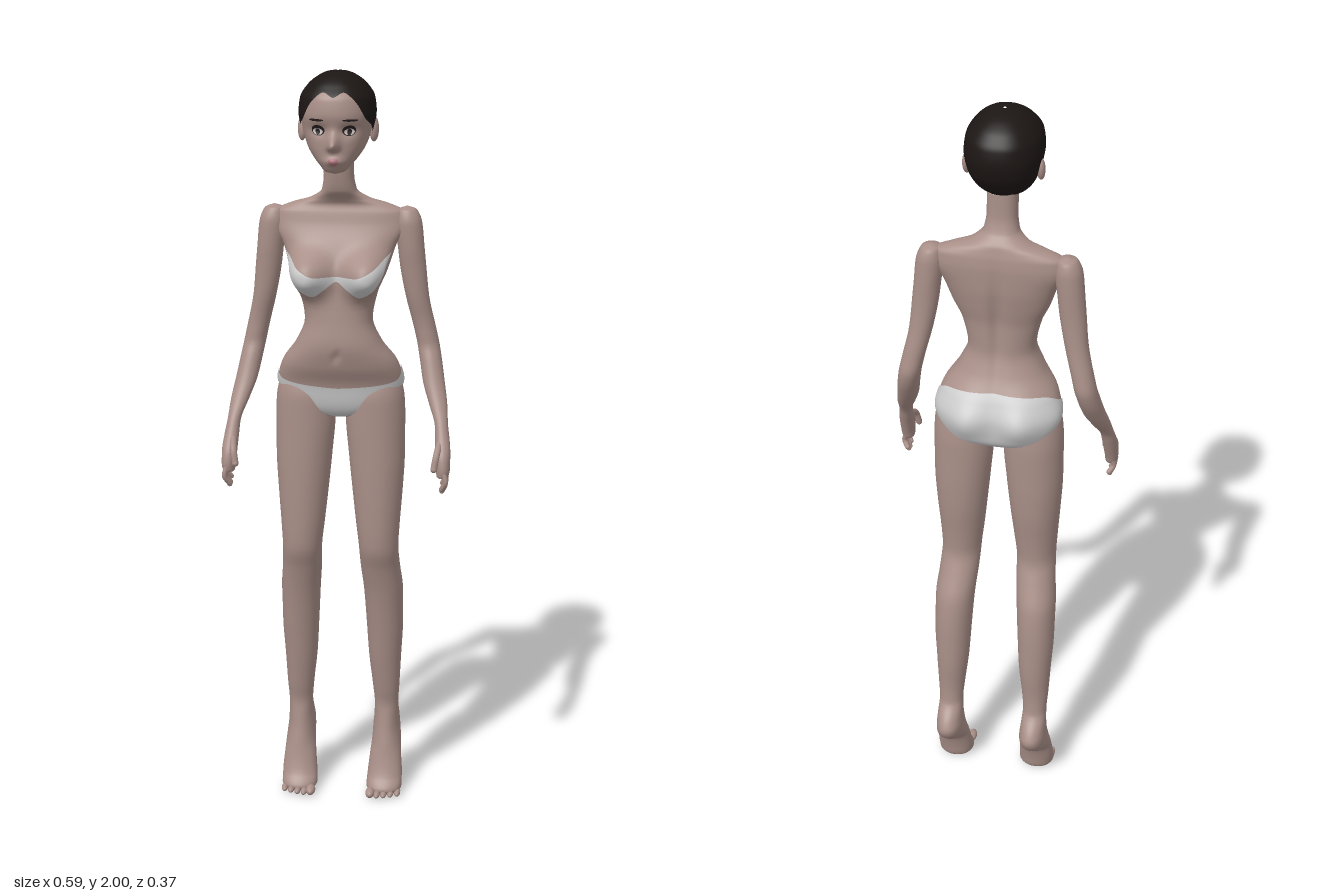
import * as THREE from 'three';
import { mergeVertices } from 'three/addons/utils/BufferGeometryUtils.js';

const mat = (color) => new THREE.MeshStandardMaterial({ color, roughness: 0.8 });
const skin = mat(0xa98f88), cloth = mat(0xd8dcdc), hairMat = mat(0x1c1614);
const dark = mat(0x2a2020), white = mat(0xc9c4c2), lip = mat(0xa87078);
const bell = (d, w) => Math.exp(-((d / w) ** 2));

// Monotone cubic interpolation of table rows [key, a, b, ...] by their first column
function lookup(rows, k) {
  const n = rows.length - 1;
  let i = 0;
  while (i < n - 1 && k > rows[i + 1][0]) i++;
  const h = rows[i + 1][0] - rows[i][0];
  const t = Math.min(1, Math.max(0, (k - rows[i][0]) / h));
  const sec = (j, c) => (rows[j + 1][c] - rows[j][c]) / (rows[j + 1][0] - rows[j][0]);
  const tan = (j, c) => {
    if (j === 0) return sec(0, c);
    if (j === n) return sec(n - 1, c);
    const a = sec(j - 1, c), b = sec(j, c);
    return a * b <= 0 ? 0 : (2 * a * b) / (a + b);
  };
  return rows[0].slice(1).map((_, m) => {
    const c = m + 1, t2 = t * t, t3 = t2 * t;
    return (2 * t3 - 3 * t2 + 1) * rows[i][c] + (t3 - 2 * t2 + t) * h * tan(i, c)
      + (3 * t2 - 2 * t3) * rows[i + 1][c] + (t3 - t2) * h * tan(i + 1, c);
  });
}

// Surface from horizontal sections [y, x0, x1, zFront, zBack]; angle 0 faces the front
function surface(rows, power, deform) {
  const e = 2 / power;
  const f = (a, y, grow = 0) => {
    const [x0, x1, zf, zb] = lookup(rows, y);
    const s = Math.sin(a), c = Math.cos(a);
    const p = new THREE.Vector3(
      (x0 + x1) / 2 + ((x1 - x0) / 2 + grow) * Math.sign(s) * Math.abs(s) ** e, y,
      (zf + zb) / 2 + ((zf - zb) / 2 + grow) * Math.sign(c) * Math.abs(c) ** e);
    if (deform) deform(p, c);
    return p;
  };
  f.rows = rows;
  return f;
}

function grid(nu, nv, fn) {
  const pos = [], idx = [];
  for (let j = 0; j <= nv; j++) for (let i = 0; i <= nu; i++) pos.push(...fn(i / nu, j));
  for (let j = 0; j < nv; j++) for (let i = 0; i < nu; i++) {
    const a = j * (nu + 1) + i, d = a + nu + 1;
    idx.push(a, a + 1, d + 1, a, d + 1, d);
  }
  let g = new THREE.BufferGeometry();
  g.setAttribute('position', new THREE.Float32BufferAttribute(pos, 3));
  g.setIndex(idx);
  g = mergeVertices(g, 1e-5);
  g.computeVertexNormals();
  return g;
}

// Whole closed surface, with k rows between neighbouring sections
function whole(f, nu, k) {
  const ys = f.rows.map((r) => r[0]), n = ys.length - 1;
  return grid(nu, n * k, (u, j) => {
    const i = Math.min(n - 1, Math.floor(j / k));
    return f((u * 2 - 1) * Math.PI, ys[i] + (ys[i + 1] - ys[i]) * (j / k - i));
  });
}

// Piece of a surface between two edge curves, lifted slightly off it
function patch(f, a0, a1, bottom, top, grow, nu = 64, nv = 30) {
  return grid(nu, nv, (u, j) => {
    const a = a0 + (a1 - a0) * u, v = 1 - (1 - j / nv) ** 1.6;
    return f(a, bottom(a) + (top(a) - bottom(a)) * v, grow);
  });
}
const oval = (f, a, w, y, h, grow) => {
  const r = (t) => h * Math.sqrt(Math.max(0, 1 - ((t - a) / w) ** 2));
  return patch(f, a - w, a + w, (t) => y - r(t), (t) => y + r(t), grow, 24, 8);
};
const edge = (rows) => (a) => lookup(rows, Math.abs(a))[0];
const even = (rows) => rows.map(([y, w, zf, zb]) => [y, -w, w, zf, zb]);

// Torso and neck with bust, buttocks, navel and spine
const torso = surface(even([
  [1.095, 0, -0.01, -0.01], [1.11, 0.09, 0.03, -0.075], [1.14, 0.14, 0.048, -0.1], [1.2, 0.163, 0.062, -0.105],
  [1.25, 0.15, 0.085, -0.092], [1.31, 0.11, 0.098, -0.06], [1.37, 0.087, 0.092, -0.042], [1.44, 0.1, 0.086, -0.042],
  [1.5, 0.125, 0.08, -0.05], [1.56, 0.145, 0.06, -0.057], [1.61, 0.168, 0.036, -0.058], [1.64, 0.165, 0.028, -0.055],
  [1.66, 0.125, 0.022, -0.05], [1.675, 0.075, 0.03, -0.045], [1.7, 0.044, 0.05, -0.025], [1.74, 0.038, 0.06, -0.014],
  [1.8, 0.038, 0.07, -0.012],
]), 2.4, (p, c) => {
  const { x, y } = p, ax = Math.abs(x);
  if (c > 0) {
    const r2 = ((ax - 0.07) / 0.052) ** 2 + ((y - 1.49) / 0.052) ** 2;
    const b = Math.exp(-(r2 ** 1.4)) * Math.min(1, c * 2);
    p.z += 0.06 * b - 0.01 * bell(x, 0.009) * bell(y - 1.28, 0.01);
    p.x += Math.sign(x) * 0.012 * b;
  } else {
    p.z -= 0.024 * bell(ax - 0.07, 0.05) * bell(y - 1.195, 0.055) * Math.min(1, -c * 2);
    p.z += 0.012 * bell(x, 0.018) * bell(y - 1.45, 0.14);
  }
});

// Head with nose, eye sockets, lips and chin
const head = surface(even([
  [1.752, 0, 0.11, 0.11], [1.76, 0.026, 0.138, 0.07], [1.775, 0.04, 0.147, 0.04], [1.79, 0.054, 0.15, 0.01],
  [1.82, 0.073, 0.152, -0.025], [1.86, 0.086, 0.153, -0.052], [1.9, 0.092, 0.162, -0.061], [1.935, 0.088, 0.158, -0.056],
  [1.965, 0.07, 0.135, -0.036], [1.985, 0.046, 0.108, -0.008], [1.996, 0.023, 0.078, 0.022], [2, 0, 0.05, 0.05],
]), 2.3, (p, c) => {
  if (c <= 0) return;
  const { x, y } = p, d = y - 1.825;
  p.z += 0.034 * bell(x, 0.013) * bell(d, d < 0 ? 0.01 : 0.026);
  p.z += 0.01 * bell(x, 0.022) * bell(y - 1.787, 0.011);
  p.z -= 0.009 * bell(Math.abs(x) - 0.036, 0.02) * bell(y - 1.862, 0.014);
});

// Limb sections for the left side
const legRows = [
  [0, 0.115, 0.115, -0.05, -0.05], [0.005, 0.08, 0.157, -0.015, -0.085], [0.02, 0.069, 0.167, -0.004, -0.096],
  [0.05, 0.071, 0.167, -0.026, -0.102], [0.1, 0.076, 0.163, -0.042, -0.118], [0.14, 0.08, 0.16, -0.05, -0.165],
  [0.18, 0.082, 0.156, -0.058, -0.186], [0.21, 0.085, 0.154, -0.062, -0.172], [0.25, 0.087, 0.152, -0.066, -0.137],
  [0.3, 0.083, 0.155, -0.056, -0.134], [0.4, 0.072, 0.16, -0.036, -0.14], [0.5, 0.066, 0.165, -0.018, -0.138],
  [0.6, 0.06, 0.165, 0.002, -0.128], [0.68, 0.053, 0.158, 0.024, -0.095], [0.74, 0.05, 0.155, 0.045, -0.074],
  [0.8, 0.043, 0.158, 0.05, -0.078], [0.9, 0.032, 0.165, 0.053, -0.09], [1, 0.022, 0.17, 0.054, -0.094],
  [1.1, 0.014, 0.17, 0.054, -0.094], [1.15, 0.014, 0.168, 0.054, -0.09], [1.2, 0.03, 0.158, 0.045, -0.08],
  [1.24, 0.06, 0.13, 0, -0.06],
];
const armRows = [
  [0.972, 0.275, 0.275, 0.115, 0.115], [0.98, 0.262, 0.292, 0.137, 0.092], [1, 0.26, 0.296, 0.14, 0.084],
  [1.03, 0.257, 0.296, 0.134, 0.072], [1.07, 0.255, 0.292, 0.106, 0.055], [1.1, 0.253, 0.287, 0.088, 0.042],
  [1.15, 0.235, 0.282, 0.058, 0.004], [1.2, 0.217, 0.273, 0.032, -0.032], [1.26, 0.205, 0.262, 0.008, -0.066],
  [1.3, 0.197, 0.254, -0.006, -0.076], [1.34, 0.188, 0.245, -0.006, -0.071], [1.42, 0.168, 0.228, 0.005, -0.06],
  [1.5, 0.153, 0.22, 0.013, -0.055], [1.55, 0.147, 0.215, 0.018, -0.055], [1.61, 0.14, 0.209, 0.02, -0.054],
  [1.645, 0.145, 0.195, 0.01, -0.045], [1.655, 0.17, 0.17, -0.018, -0.018],
];

export function createModel() {
  const model = new THREE.Group();
  const add = (name, geometry, material = skin) => {
    const m = new THREE.Mesh(geometry, material);
    m.name = name;
    model.add(m);
    return m;
  };
  const ball = (name, x, y, z, sx, sy, sz) => {
    const m = add(name, new THREE.SphereGeometry(1, 16, 12));
    m.position.set(x, y, z);
    m.scale.set(sx, sy, sz);
    return m;
  };
  const digit = (name, pts, r) => {
    const path = new THREE.CatmullRomCurve3(pts.map((p) => new THREE.Vector3(...p)));
    add(name, new THREE.TubeGeometry(path, 10, r, 10));
    ball(name + 'Tip', ...pts[pts.length - 1], r, r, r);
  };

  add('torso', whole(torso, 128, 5));
  add('head', whole(Object.assign((a, y) => head(a, y), { rows: head.rows.slice(0, 9) }), 160, 7));

  // Short cropped hair down to the nape
  const hairline = edge([[0, 1.943], [0.25, 1.955], [0.55, 1.935], [0.9, 1.89], [1.25, 1.87], [1.5, 1.85],
    [1.8, 1.822], [2.2, 1.802], [Math.PI, 1.788]]);
  add('hair', patch(head, -Math.PI, Math.PI, hairline, () => 2, 0.004, 128, 48), hairMat);

  // Two-piece swimwear
  add('bandeau', patch(torso, -1.2, 1.2,
    edge([[0, 1.477], [0.2, 1.455], [0.5, 1.438], [0.85, 1.455], [1.2, 1.54]]),
    edge([[0, 1.489], [0.25, 1.492], [0.6, 1.51], [0.9, 1.528], [1.2, 1.546]]), 0.003, 96, 24), cloth);
  add('briefs', patch(torso, -Math.PI, Math.PI,
    edge([[0, 1.1], [0.25, 1.113], [0.6, 1.16], [1, 1.185], [1.57, 1.19], [2, 1.165], [2.5, 1.14], [Math.PI, 1.115]]),
    edge([[0, 1.19], [1, 1.205], [1.57, 1.235], [2.2, 1.265], [Math.PI, 1.275]]), 0.003, 128, 24), cloth);
  add('lips', oval(head, 0, 0.2, 1.787, 0.01, 0.0015), lip);

  for (const s of [1, -1]) {
    const side = s > 0 ? 'left' : 'right';
    const limb = (rows) => surface(rows.map(([y, a, b, f, k]) => (s > 0 ? [y, a, b, f, k] : [y, -b, -a, f, k])), 2.1);
    add(side + 'Leg', whole(limb(legRows), 40, 4));
    add(side + 'Arm', whole(limb(armRows), 32, 4));

    // Eye, brow and ear
    add(side + 'EyeLid', oval(head, s * 0.41, 0.21, 1.863, 0.013, 0.001), dark);
    add(side + 'EyeWhite', oval(head, s * 0.41, 0.16, 1.86, 0.008, 0.002), white);
    add(side + 'Iris', oval(head, s * 0.4, 0.07, 1.86, 0.0078, 0.003), dark);
    add(side + 'Brow', oval(head, s * 0.43, 0.23, 1.889, 0.003, 0.0015), dark);
    ball(side + 'Ear', s * 0.09, 1.855, 0.04, 0.011, 0.031, 0.018).rotation.set(-0.15, s * -0.3, 0);

    // Fingers and thumb
    for (let i = 0; i < 4; i++) {
      const z = 0.132 - i * 0.0125, len = [0.042, 0.05, 0.048, 0.036][i];
      digit(side + 'Finger', [[s * 0.28, 0.995, z], [s * 0.286, 0.985 - len * 0.4, z + 0.003],
        [s * 0.276, 0.99 - len, z - 0.006]], 0.0068);
    }
    digit(side + 'Thumb', [[s * 0.268, 1.065, 0.095], [s * 0.262, 1.04, 0.132], [s * 0.256, 1.005, 0.142]], 0.0085);

    // Toes
    for (let i = 0; i < 5; i++) {
      const r = i ? 0.009 : 0.013;
      ball(side + 'Toe', s * (0.083 + i * 0.0185), r + 0.001, -0.006 - i * i * 0.0012, r, r, 0.023);
    }
  }
  return model;
}
